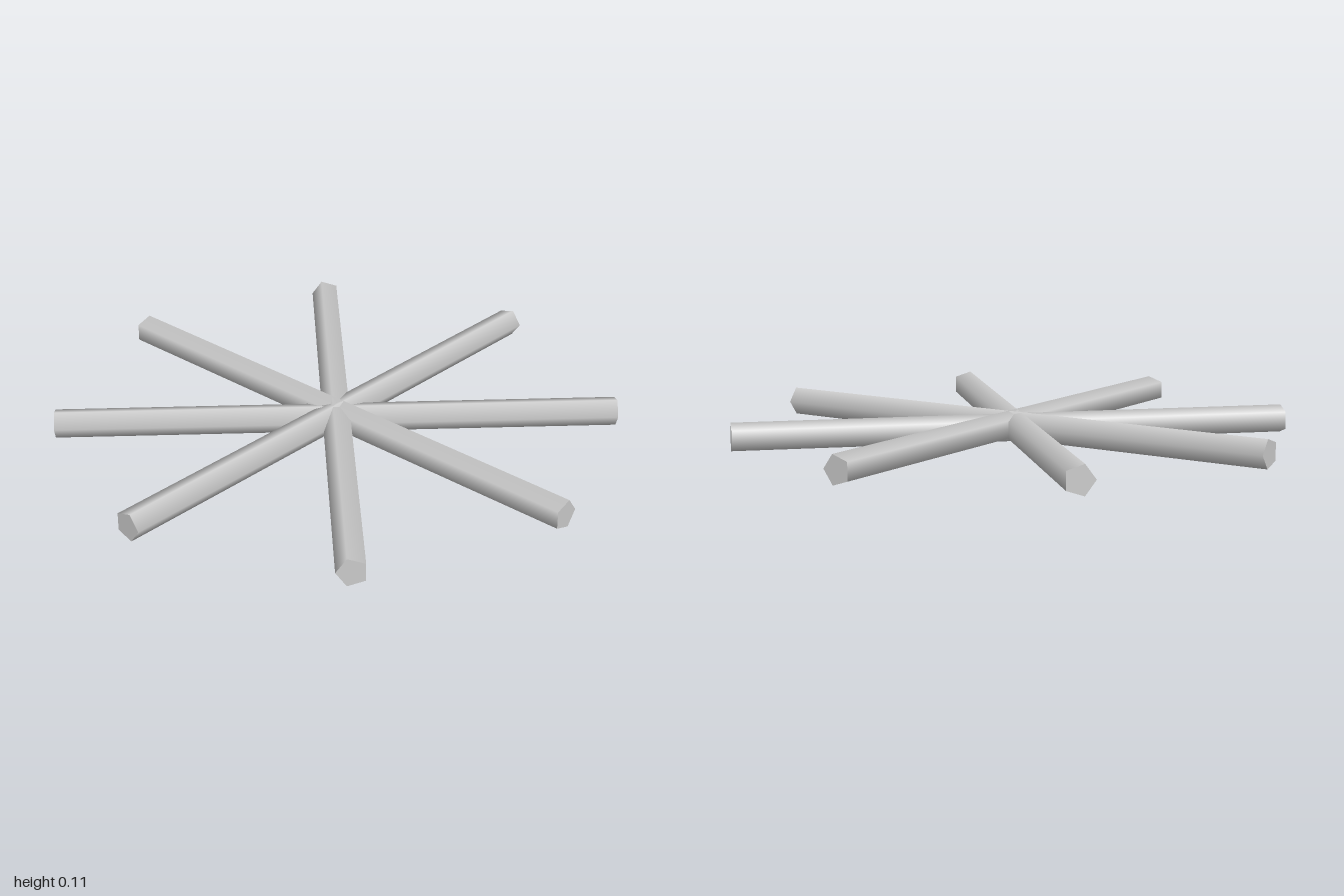
import * as THREE from 'three';

const RADIUS = 0.053;
const LENGTH = 2;

export function createModel() {
  const group = new THREE.Group();
  group.name = 'rodStar';
  const material = new THREE.MeshStandardMaterial({ color: 0xcccccc });

  // five-sided rod lying along x, one ridge pointing to +z
  const rod = new THREE.CylinderGeometry(RADIUS, RADIUS, LENGTH, 5);
  rod.rotateZ(Math.PI / 2);

  // name, turn about y in degrees, height of the axis
  const rods = [
    ['crossRod', 0, 0.0504],
    ['lengthRod', -90, 0.0615],
    ['diagonalRodA', 45, 0.063],
    ['diagonalRodB', 135, 0.063],
  ];
  for (const [name, degrees, height] of rods) {
    const mesh = new THREE.Mesh(rod, material);
    mesh.name = name;
    mesh.rotation.y = THREE.MathUtils.degToRad(degrees);
    mesh.position.y = height;
    group.add(mesh);
  }
  return group;
}
